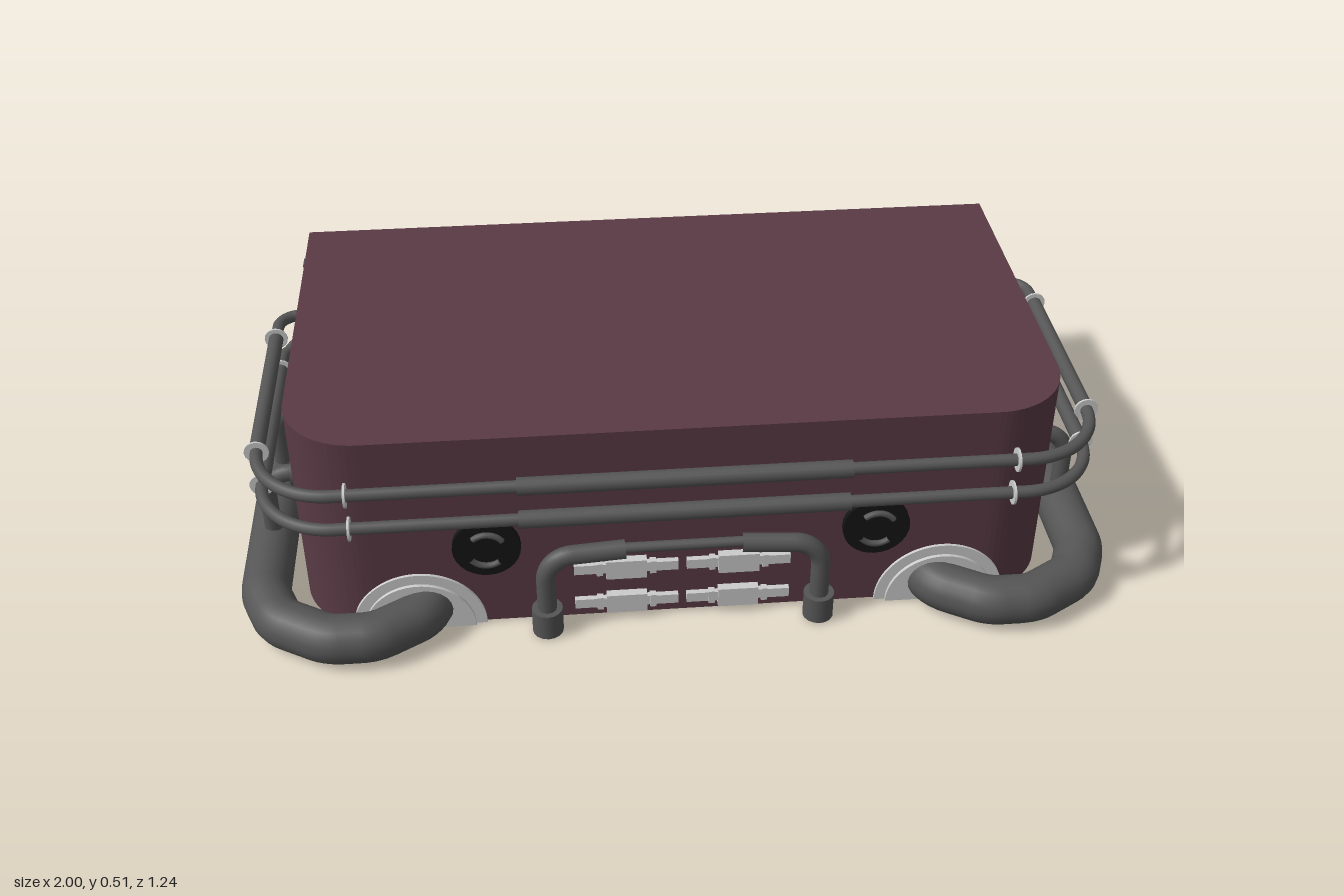
import * as THREE from 'three';

const V = (x, y, z) => new THREE.Vector3(x, y, z);
const mat = (color) => new THREE.MeshStandardMaterial({ color });

// Polyline whose inner corners are rounded by radius r (number or one per corner)
function roundedPath(pts, r) {
  const path = new THREE.CurvePath();
  let last = pts[0];
  for (let i = 1; i < pts.length - 1; i++) {
    const p = pts[i];
    const rad = Array.isArray(r) ? r[i - 1] : r;
    const a = p.clone().add(pts[i - 1].clone().sub(p).setLength(rad));
    const b = p.clone().add(pts[i + 1].clone().sub(p).setLength(rad));
    const k = 0.4477; // circular arc handle
    path.add(new THREE.LineCurve3(last, a));
    path.add(new THREE.CubicBezierCurve3(a, a.clone().lerp(p, 1 - k), b.clone().lerp(p, 1 - k), b));
    last = b;
  }
  path.add(new THREE.LineCurve3(last, pts[pts.length - 1]));
  return path;
}

export function createModel() {
  const model = new THREE.Group();
  const maroon = mat(0x593a45), steel = mat(0x555555), black = mat(0x151515), light = mat(0xcccccc);

  function add(name, geo, material, x = 0, y = 0, z = 0, parent = model) {
    const m = new THREE.Mesh(geo, material);
    m.name = name;
    m.position.set(x, y, z);
    parent.add(m);
    return m;
  }
  const box = (name, w, h, d, material, x, y, z) =>
    add(name, new THREE.BoxGeometry(w, h, d), material, x, y, z);
  const tube = (name, path, r, material, segs = 40, sides = 12) =>
    add(name, new THREE.TubeGeometry(path, segs, r, sides), material);
  // Cylinder lying along an axis: 'x', 'y' or 'z'
  function rod(name, r, len, axis, material, x, y, z, sides = 16) {
    const g = new THREE.CylinderGeometry(r, r, len, sides);
    if (axis === 'x') g.rotateZ(Math.PI / 2);
    if (axis === 'z') g.rotateX(Math.PI / 2);
    return add(name, g, material, x, y, z);
  }

  // Main body and lid: square at the back, rounded at the front corners
  const W = 0.86, back = -0.445, front = 0.47, R = 0.17;
  const plan = new THREE.Shape();
  plan.moveTo(-W, -back);
  plan.lineTo(-W, -front + R);
  plan.absarc(-W + R, -front + R, R, Math.PI, Math.PI * 1.5, false);
  plan.lineTo(W - R, -front);
  plan.absarc(W - R, -front + R, R, Math.PI * 1.5, Math.PI * 2, false);
  plan.lineTo(W, -back);
  const slab = (name, y, h) => {
    const g = new THREE.ExtrudeGeometry(plan, { depth: h, bevelEnabled: false, curveSegments: 10 });
    g.rotateX(-Math.PI / 2);
    add(name, g, maroon, 0, y, 0);
  };
  slab('body', 0.003, 0.462);
  slab('lid', 0.465, 0.05);

  for (const s of [-1, 1]) {
    // Large pipe running along the side and curling in at both ends
    const half = [[0.55, 0.41], [0.585, 0.5], [0.69, 0.563], [0.79, 0.563], [0.905, 0.495], [0.945, 0.4]];
    const pts = [...half, ...half.map(([x, z]) => [x, -z]).reverse()].map(([x, z]) => V(s * x, 0.056, z));
    tube('sidePipe', roundedPath(pts, 0.025), 0.056, steel, 150, 20);

    // Half-round flange where the pipe meets the front
    for (const [r, d] of [[0.15, 0.012], [0.125, 0.02]]) {
      const disc = new THREE.Shape();
      disc.absarc(0, 0, r, 0, Math.PI, false);
      add('pipeFlange', new THREE.ExtrudeGeometry(disc, { depth: d, bevelEnabled: false, curveSegments: 24 }),
        light, s * 0.595, 0.002, front - 0.005);
    }

    // Small elbow pipes rising from the large pipe into the side
    for (const z of [0.22, -0.035, -0.325]) {
      tube('elbowPipe', roundedPath([V(s * 0.938, 0.08, z), V(s * 0.938, 0.265, z), V(s * 0.85, 0.265, z)], 0.06),
        0.02, steel, 24);
      rod('elbowFlange', 0.031, 0.02, 'x', steel, s * 0.868, 0.265, z);
    }

    // Side hinge
    box('hingePlate', 0.02, 0.245, 0.036, steel, s * 0.868, 0.333, -0.4);
    box('hingeKnuckle', 0.03, 0.1, 0.054, steel, s * 0.871, 0.335, -0.4);

    // Round cap with a two-arm twist grip
    rod('capDisc', 0.076, 0.018, 'z', black, s * 0.435, 0.225, 0.475, 28);
    const grip = new THREE.Group();
    grip.name = 'capGrip';
    grip.position.set(s * 0.435, 0.225, 0.49);
    for (const turn of [0, Math.PI]) {
      const arc = add('gripArc', new THREE.TorusGeometry(0.043, 0.007, 8, 14, 1.7), steel, 0, 0, 0, grip);
      arc.rotation.z = turn + 0.6;
    }
    model.add(grip);

    // Front latches, two rows on each side
    for (const y of [0.045, 0.145]) {
      box('latchBar', 0.235, 0.025, 0.016, light, s * 0.127, y, 0.475);
      box('latchBlock', 0.092, 0.05, 0.024, light, s * 0.127, y, 0.478);
      for (const dx of [-0.06, 0.06])
        box('latchCollar', 0.014, 0.034, 0.02, light, s * 0.127 + dx, y, 0.476);
    }

    // Foot of the front guard
    rod('guardFoot', 0.035, 0.065, 'y', steel, s * 0.308, 0.035, 0.512);
    tube('guardLeg', roundedPath([V(s * 0.308, 0.05, 0.512), V(s * 0.308, 0.213, 0.512), V(s * 0.13, 0.22, 0.505)], 0.06),
      0.022, steel, 30);
    // Rear stays joining the guard to the body
    rod('guardStay', 0.014, 0.06, 'z', steel, s * 0.308, 0.15, 0.485);
  }
  rod('guardBar', 0.012, 0.28, 'x', steel, 0, 0.223, 0.505);

  // Two wrap-around handrails
  const rx = 0.92, rz = 0.53, endZ = -0.19;
  for (const y of [0.34, 0.43]) {
    const pts = [V(-W + 0.01, y, endZ), V(-rx, y, endZ), V(-rx, y, rz),
      V(rx, y, rz), V(rx, y, endZ), V(W - 0.01, y, endZ)];
    tube('handrail', roundedPath(pts, [0.05, 0.17, 0.17, 0.05]), 0.014, steel, 220);
    rod('railGrip', 0.02, 0.72, 'x', steel, 0, y, rz);
    for (const s of [-1, 1]) {
      rod('sideGrip', 0.017, 0.45, 'z', steel, s * rx, y, 0.135);
      rod('railFlange', 0.031, 0.014, 'x', light, s * (W + 0.006), y, endZ);
      rod('railRing', 0.027, 0.005, 'x', light, s * 0.72, y, rz);
      for (const z of [0.36, -0.09]) rod('railRing', 0.027, 0.005, 'z', light, s * rx, y, z);
    }
  }
  return model;
}
